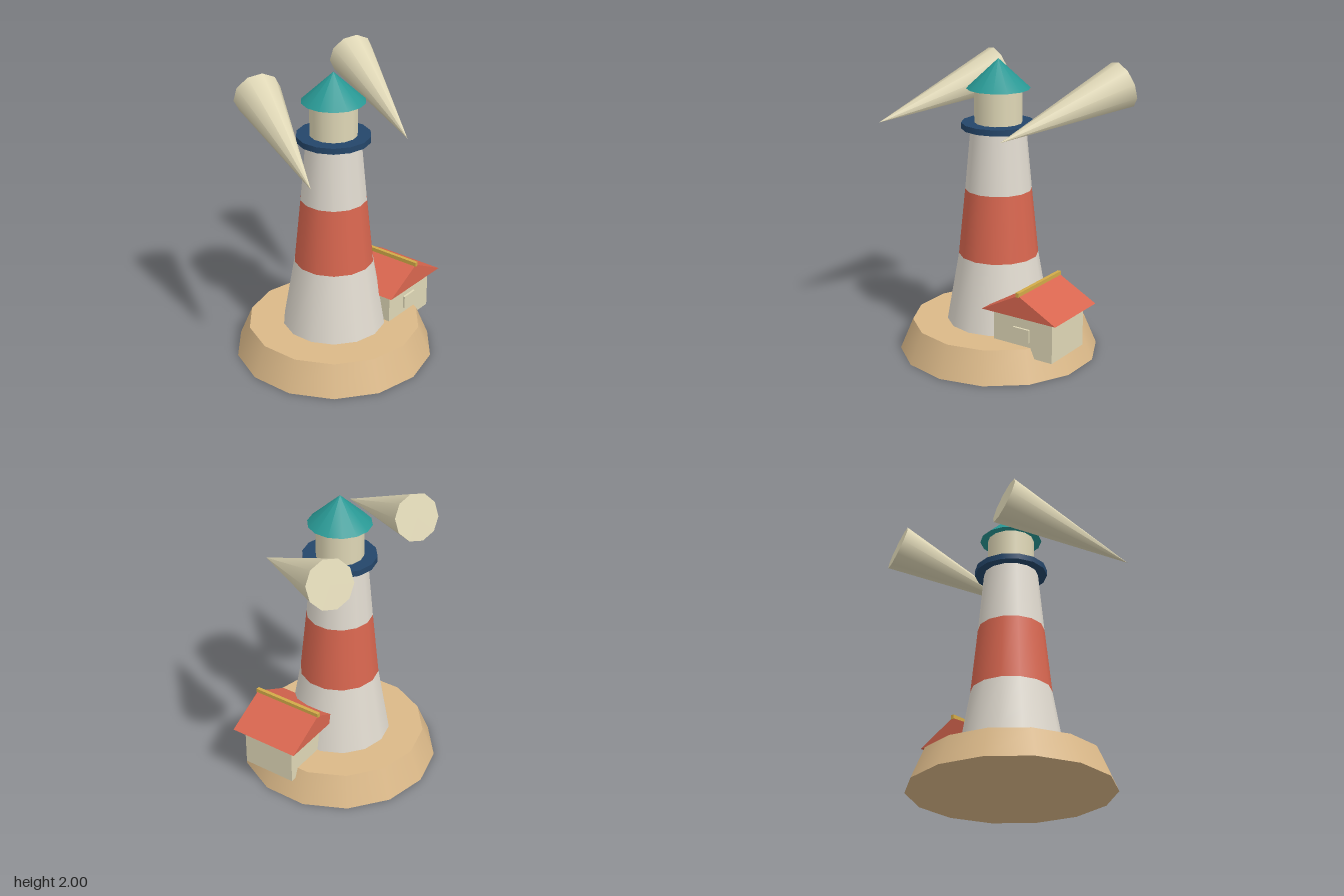
import * as THREE from 'three';

export function createModel() {
  const group = new THREE.Group();
  const mat = (name, color) => {
    const m = new THREE.MeshStandardMaterial({ color });
    m.name = name;
    return m;
  };
  const sand = mat('sand', 0xdab888);
  const white = mat('white', 0xe0dacf);
  const red = mat('red', 0xd8664f);
  const navy = mat('navy', 0x24466a);
  const cream = mat('cream', 0xdfd7b6);
  const teal = mat('teal', 0x289894);
  const gold = mat('gold', 0xd2aa48);

  const add = (name, geometry, material, x = 0, y = 0, z = 0) => {
    const mesh = new THREE.Mesh(geometry, material);
    mesh.name = name;
    mesh.position.set(x, y, z);
    group.add(mesh);
    return mesh;
  };

  // Round parts stacked on the tower axis
  const SIDES = 14, AXIS_X = -0.07;
  const ring = (name, y0, y1, r0, r1, material) =>
    add(name, new THREE.CylinderGeometry(r1, r0, y1 - y0, SIDES), material, AXIS_X, (y0 + y1) / 2, 0);

  ring('island', 0, 0.21, 0.675, 0.587, sand);
  ring('towerBottom', 0.21, 0.68, 0.35, 0.268, white);
  ring('towerBand', 0.68, 1.13, 0.268, 0.222, red);
  ring('towerTop', 1.13, 1.54, 0.222, 0.184, white);
  ring('gallery', 1.54, 1.58, 0.245, 0.245, navy);
  ring('lantern', 1.58, 1.805, 0.158, 0.158, cream);
  add('lanternRoof', new THREE.ConeGeometry(0.21, 0.195, SIDES), teal, AXIS_X, 1.9025, 0);

  // Keeper's house
  const houseX = 0.345;
  add('houseWalls', new THREE.BoxGeometry(0.45, 0.285, 0.38), cream, houseX, 0.2825, 0.14);
  add('houseWindow', new THREE.BoxGeometry(0.12, 0.09, 0.03), cream, 0.34, 0.29, 0.33);
  const gable = new THREE.Shape([
    new THREE.Vector2(-0.283, 0), new THREE.Vector2(0.283, 0), new THREE.Vector2(0, 0.15),
  ]);
  add('houseRoof', new THREE.ExtrudeGeometry(gable, { depth: 0.495, bevelEnabled: false }),
    red, houseX, 0.425, -0.11);
  add('roofRidge', new THREE.BoxGeometry(0.025, 0.03, 0.505), gold, 0.343, 0.58, 0.138);

  // Two parallel light beams: tip low at the front, wide end high at the back
  const axis = new THREE.Vector3(-0.42, -0.285, 0.785);
  const length = axis.length();
  const turn = new THREE.Quaternion().setFromUnitVectors(
    new THREE.Vector3(0, 1, 0), axis.clone().normalize());
  for (const [name, tipX] of [['rightBeam', -0.765], ['leftBeam', 0.205]]) {
    const beam = add(name, new THREE.ConeGeometry(0.158, length, 10), cream);
    beam.quaternion.copy(turn);
    beam.position.set(tipX, 1.555, 0.385).addScaledVector(axis, -0.5);
  }
  return group;
}
